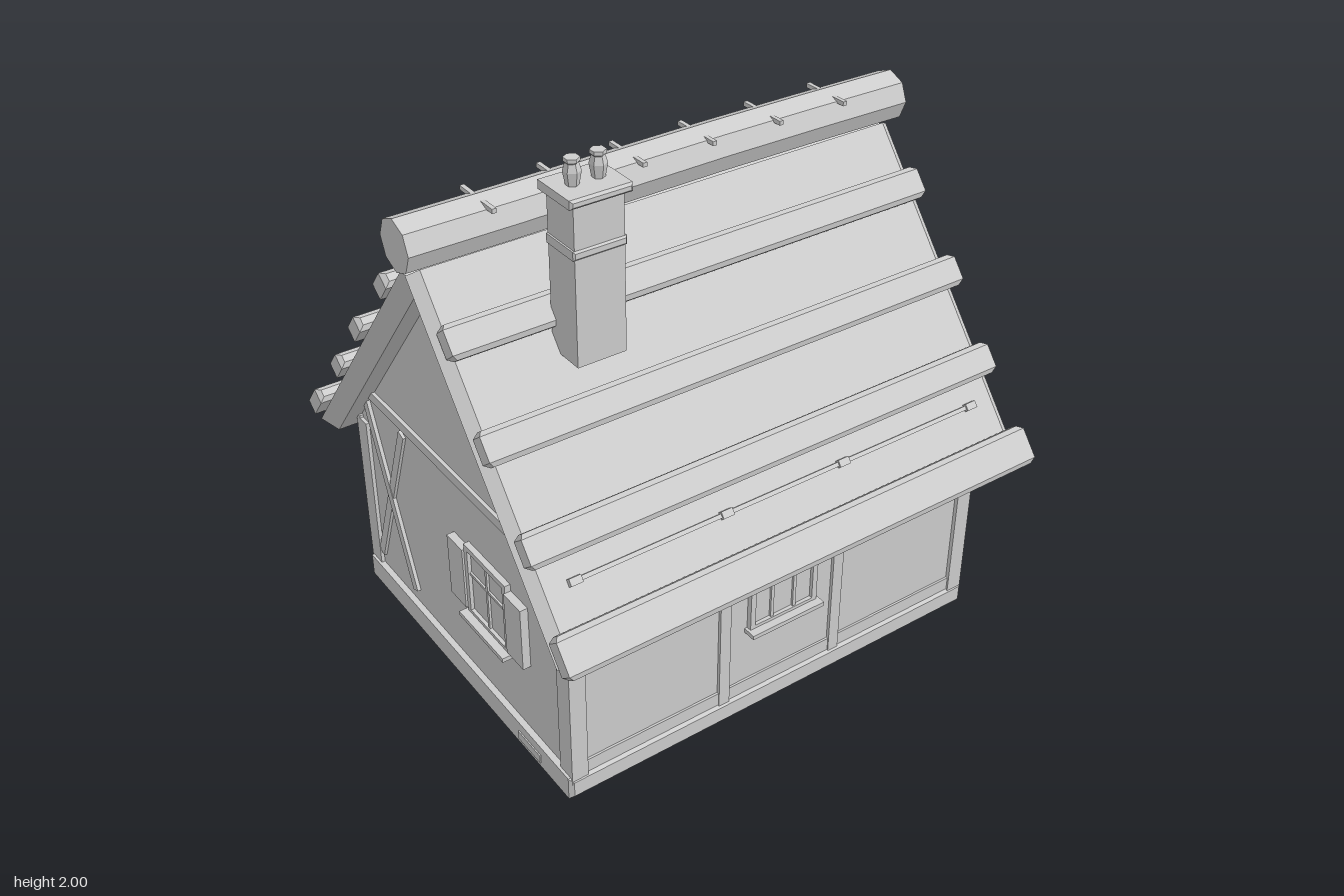
import * as THREE from 'three';

const plaster = new THREE.MeshStandardMaterial({ color: 0xcccccc });

// Adds a faceted mesh to a parent
function add(parent, name, geometry, x = 0, y = 0, z = 0) {
  const geo = geometry.index ? geometry.toNonIndexed() : geometry;
  geo.computeVertexNormals();
  const mesh = new THREE.Mesh(geo, plaster);
  mesh.name = name;
  mesh.position.set(x, y, z);
  parent.add(mesh);
  return mesh;
}

function group(parent, name, rotY = 0) {
  const g = new THREE.Group();
  g.name = name;
  g.rotation.y = rotY;
  parent.add(g);
  return g;
}

const box = (w, h, d) => new THREE.BoxGeometry(w, h, d);

function polygon(points) {
  return new THREE.Shape(points.map(p => new THREE.Vector2(...p)));
}

function extrude(shape, depth) {
  return new THREE.ExtrudeGeometry(shape, { depth, bevelEnabled: false, curveSegments: 8 });
}

// Box with every edge chamfered by b
function chamferBox(w, h, d, b) {
  const x = w / 2 - b, y = h / 2 - b;
  const geo = new THREE.ExtrudeGeometry(polygon([[-x, -y], [x, -y], [x, y], [-x, y]]), {
    depth: d - 2 * b, bevelThickness: b, bevelSize: b, bevelSegments: 1,
  });
  return geo.center();
}

// Window with frame, cross bars and sill; local +z points out of the wall
function addWindow(wall, x, y0, y1, w, z, bars) {
  const win = group(wall, 'window');
  win.position.set(x, (y0 + y1) / 2, z);
  const h = y1 - y0, f = 0.02;
  add(win, 'pane', box(w, h, 0.006));
  for (const s of [-1, 1]) {
    add(win, 'frameSide', box(f, h, 0.024), s * (w - f) / 2, 0, 0.004);
    add(win, 'frameRail', box(w, f, 0.024), 0, s * (h - f) / 2, 0.004);
  }
  for (let i = 1; i <= bars; i++) {
    add(win, 'mullion', box(0.012, h, 0.016), -w / 2 + w * i / (bars + 1), 0, 0.003);
  }
  add(win, 'crossBar', box(w, 0.01, 0.014), 0, h * 0.1, 0.003);
  add(win, 'sill', box(w + 0.02, 0.016, 0.05), 0, -h / 2, 0.02);
  return win;
}

// Door outline with a round top
function archShape(r, bottom, spring) {
  const s = new THREE.Shape();
  s.moveTo(-r, bottom);
  s.lineTo(r, bottom);
  s.lineTo(r, spring);
  s.absarc(0, spring, r, 0, Math.PI, false);
  s.closePath();
  return s;
}

// Timber posts and rails shared by both long walls
function addTimbers(wall, innerX) {
  for (const s of [-1, 1]) {
    add(wall, 'cornerPost', box(0.06, 0.65, 0.025), s * 0.798, 0.39, 0.674);
    add(wall, 'innerPost', box(0.042, 0.62, 0.02), s * innerX, 0.375, 0.674);
    add(wall, 'bottomRail', box(0.53, 0.05, 0.016), s * 0.51, 0.11, 0.672);
  }
}

function buildFrontWall(root) {
  const wall = group(root, 'frontWall');
  addTimbers(wall, 0.233);
  add(wall, 'bottomRail', box(0.43, 0.05, 0.016), 0, 0.11, 0.672);
  addWindow(wall, 0, 0.35, 0.65, 0.275, 0.675, 2);
}

function buildDoorWall(root) {
  const wall = group(root, 'doorWall', Math.PI);
  addTimbers(wall, 0.233);

  // Arched door, frame and ironwork
  const frame = archShape(0.165, 0.08, 0.49);
  frame.holes.push(archShape(0.135, 0.085, 0.49));
  add(wall, 'doorFrame', extrude(frame, 0.035), 0, 0, 0.665);
  add(wall, 'door', extrude(archShape(0.135, 0.08, 0.49), 0.012), 0, 0, 0.67);
  for (const x of [-0.045, 0.045]) add(wall, 'plankStrip', box(0.008, 0.5, 0.008), x, 0.34, 0.684);
  for (const y of [0.22, 0.47]) add(wall, 'hinge', box(0.2, 0.02, 0.008), 0.03, y, 0.686);
  add(wall, 'doorKnob', new THREE.SphereGeometry(0.014, 6, 4), -0.095, 0.33, 0.694);
  add(wall, 'doorStep', box(0.43, 0.085, 0.12), 0, 0.0425, 0.73);

  // Windows with flower boxes
  for (const s of [-1, 1]) {
    addWindow(wall, s * 0.53, 0.34, 0.65, 0.29, 0.68, 1);
    const planter = group(wall, 'flowerBox');
    planter.position.set(s * 0.53, 0.3, 0.715);
    add(planter, 'trough', box(0.3, 0.05, 0.06));
    for (let i = 0; i < 5; i++) {
      const x = -0.12 + i * 0.06, y = 0.052 + (i % 2) * 0.012;
      add(planter, 'stem', new THREE.CylinderGeometry(0.004, 0.004, 0.04, 5), x, 0.035, 0.005);
      add(planter, 'flower', new THREE.IcosahedronGeometry(0.017, 0), x, y, 0.008);
    }
    add(wall, 'plinthStone', box(0.13, 0.032, 0.012), s * 0.69, 0.042, 0.69);
  }
}

// Gable wall on side s, mirrored in x
function buildGable(root, s) {
  const wall = group(root, s > 0 ? 'leftGable' : 'rightGable', s * Math.PI / 2);
  const at = z => -s * z;
  add(wall, 'tieBeam', box(1.14, 0.036, 0.016), 0, 0.857, 0.82);
  for (const e of [-1, 1]) {
    add(wall, 'cornerPost', box(0.065, 0.63, 0.02), e * 0.648, 0.39, 0.818);
    const brace = add(wall, 'crossBrace', box(0.036, 0.72, 0.014 + e * 0.002), at(-0.475), 0.48, 0.82);
    brace.rotation.z = e * 0.375;
  }
  addWindow(wall, at(0.205), 0.35, 0.635, 0.26, 0.82, 1);
  for (const z of [0.387, 0.025]) {
    add(wall, 'shutter', box(0.1, 0.24, 0.03), at(z), 0.49, 0.828);
  }
  add(wall, 'plinthStone', box(0.135, 0.032, 0.012), at(0.443), 0.038, 0.836);
}

// One roof slope: local z runs down the slope, local y is its outward normal
function buildSlope(root, rotY) {
  const turn = group(root, 'roofSlope', rotY);
  const slope = group(turn, 'slope');
  slope.position.y = 1.545;
  slope.rotation.x = 0.891;
  const section = polygon([[-0.88, 0], [0.88, 0], [0.922, 0.06], [0.885, 0.091],
    [-0.885, 0.091], [-0.922, 0.06]]);
  add(slope, 'thatch', extrude(section, 1.22), 0, 0, -0.05);
  const courses = [[0.181, 1.815, 0.11], [0.503, 1.84, 0.11], [0.819, 1.83, 0.11], [1.139, 1.855, 0.135]];
  for (const [z, w, d] of courses) add(slope, 'thatchCourse', chamferBox(w, 0.056, d, 0.015), 0, 0.117, z);

  // Thin holding rod with pegs
  add(slope, 'thatchRod', box(1.61, 0.014, 0.014), 0, 0.096, 0.95);
  for (const x of [-0.785, -0.235, 0.23, 0.785]) {
    add(slope, 'rodPeg', box(0.042, 0.022, 0.024), x, 0.098, 0.95);
  }
}

function buildRidge(root) {
  const ridge = group(root, 'ridge');
  const log = new THREE.CylinderGeometry(0.088, 0.088, 1.88, 8, 5);
  log.rotateZ(Math.PI / 2);
  const p = log.attributes.position;
  // Slight wave along the length
  for (let i = 0; i < p.count; i++) p.setY(i, p.getY(i) + 0.004 * Math.cos(p.getX(i) * 3.2 - 0.8));
  add(ridge, 'ridgeRoll', log, 0, 1.722, 0);
  for (let i = 0; i < 6; i++) {
    add(ridge, 'ridgePin', box(0.015, 0.015, 0.19), -0.66 + i * 0.264, 1.788, 0);
  }
}

function buildChimney(root) {
  const chimney = group(root, 'chimney');
  chimney.position.set(-0.475, 0, 0.295);
  add(chimney, 'stack', box(0.172, 0.54, 0.142), 0, 1.625, 0);
  add(chimney, 'stackBand', chamferBox(0.184, 0.03, 0.154, 0.006), 0, 1.73, 0);
  add(chimney, 'cap', chamferBox(0.212, 0.03, 0.182, 0.008), 0, 1.9, 0);
  const profile = [[0, 0], [0.02, 0], [0.028, 0.045], [0.02, 0.07], [0.025, 0.075], [0.025, 0.087], [0, 0.087]];
  for (const x of [-0.042, 0.046]) {
    add(chimney, 'chimneyPot', new THREE.LatheGeometry(profile.map(q => new THREE.Vector2(...q)), 6), x, 1.913, 0);
  }
}

export function createModel() {
  const root = new THREE.Group();
  root.name = 'cottage';

  // House body and plinth
  const body = extrude(polygon([[-0.672, 0.03], [0.672, 0.03], [0.672, 0.73], [0, 1.56], [-0.672, 0.73]]), 1.63);
  body.translate(0, 0, -0.815);
  body.rotateY(Math.PI / 2);
  add(root, 'walls', body);
  add(root, 'plinth', chamferBox(1.675, 0.086, 1.38, 0.014), 0, 0.046, 0);

  buildFrontWall(root);
  buildDoorWall(root);
  for (const s of [-1, 1]) buildGable(root, s);
  for (const r of [0, Math.PI]) buildSlope(root, r);
  buildRidge(root);
  buildChimney(root);
  return root;
}
